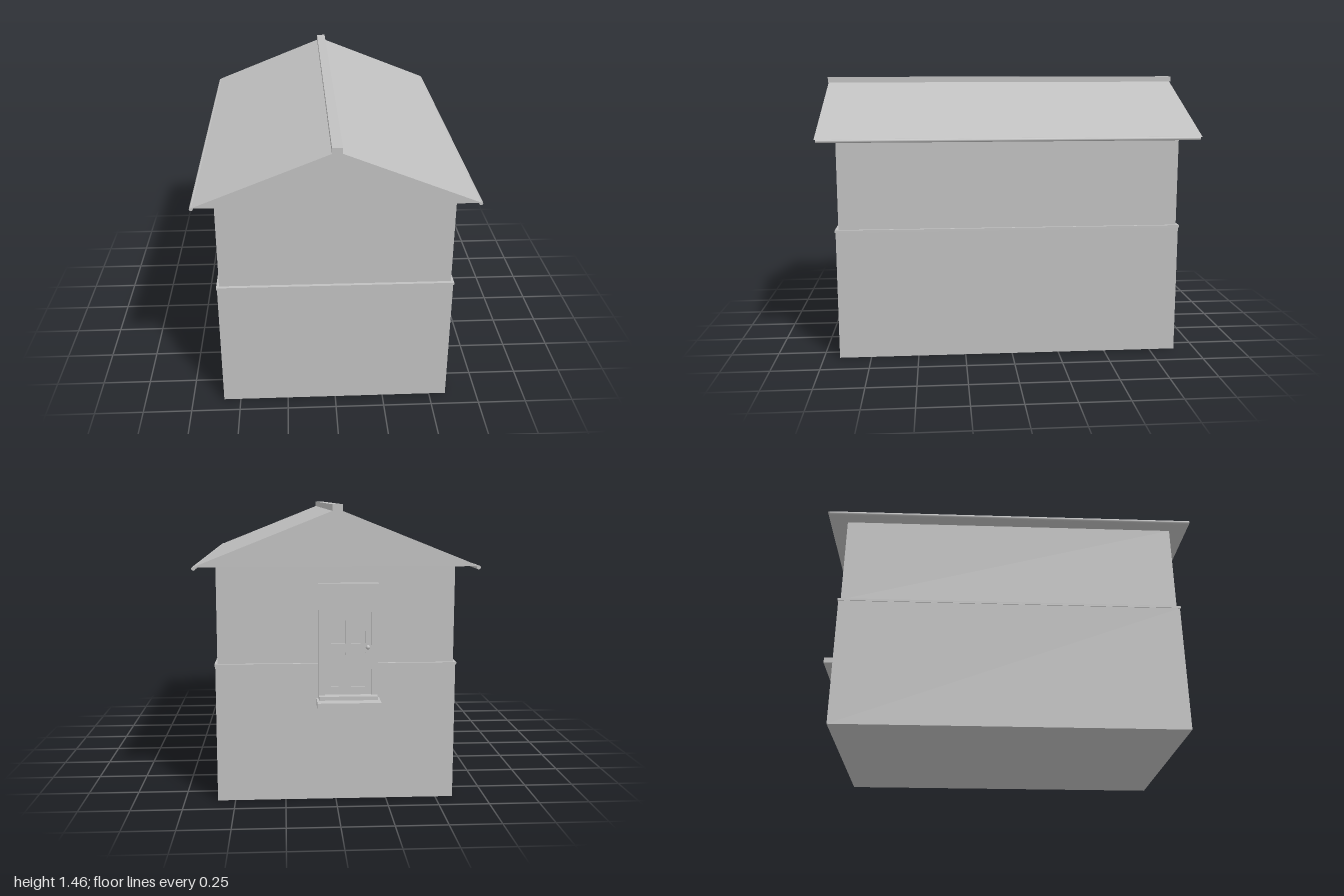
import * as THREE from 'three';

export function createModel() {
  const house = new THREE.Group();
  house.name = 'house';
  const grey = new THREE.MeshStandardMaterial({ color: 0xc0c0c0 });
  grey.name = 'plain grey';

  const add = (name, geometry, parent = house) => {
    const mesh = new THREE.Mesh(geometry, grey);
    mesh.name = name;
    parent.add(mesh);
    return mesh;
  };
  // Box given by its limits on each axis
  const box = (name, [x0, x1], [y0, y1], [z0, z1], parent) => {
    const mesh = add(name, new THREE.BoxGeometry(x1 - x0, y1 - y0, z1 - z0), parent);
    mesh.position.set((x0 + x1) / 2, (y0 + y1) / 2, (z0 + z1) / 2);
    return mesh;
  };

  // Walls: wider lower storey, moulding, narrower upper storey
  box('lowerWalls', [-0.587, 0.587], [0, 0.678], [-0.886, 0.916]);
  box('wallMoulding', [-0.591, 0.591], [0.678, 0.69], [-0.89, 0.92]);
  box('upperWalls', [-0.577, 0.577], [0.69, 1.17], [-0.876, 0.902]);

  // Solid gable roof
  const gable = new THREE.Shape();
  gable.moveTo(-0.675, 1.168);
  gable.lineTo(0.675, 1.168);
  gable.lineTo(0, 1.437);
  gable.closePath();
  const roof = add('roof', new THREE.ExtrudeGeometry(gable, { depth: 1.967, bevelEnabled: false }));
  roof.position.z = -0.971;
  box('roofRidge', [-0.025, 0.025], [1.428, 1.458], [-0.977, 1]);

  // Gutters under both eaves
  for (const side of [-1, 1]) {
    const geometry = new THREE.CylinderGeometry(0.0095, 0.0095, 1.947, 12).rotateX(Math.PI / 2);
    const gutter = add('gutter', geometry);
    gutter.position.set(side * 0.673, 1.161, 0.0135);
  }

  // Back door: casing with a recessed panelled leaf
  const door = new THREE.Group();
  door.name = 'backDoor';
  house.add(door);
  const left = 0.088, right = -0.203, casing = 0.032;
  const inL = left - casing, inR = right + casing;
  const casingZ = [-0.911, -0.87];
  box('casingSide', [inL, left], [0.515, 1.083], casingZ, door);
  box('casingSide', [right, inR], [0.515, 1.083], casingZ, door);
  box('casingTop', [inR, inL], [1.051, 1.083], casingZ, door);
  box('doorPanels', [inR, inL], [0.535, 1.051], [-0.89, -0.87], door);

  // Raised stiles and rails around four panels
  const middle = (inL + inR) / 2, stileZ = [-0.898, -0.885];
  const stiles = [[inL - 0.03, inL], [middle - 0.014, middle + 0.014], [inR, inR + 0.03]];
  stiles.forEach((x) => box('doorStile', x, [0.535, 1.051], stileZ, door));
  for (const y of [[0.535, 0.575], [0.745, 0.79], [1.016, 1.051]]) {
    box('doorRail', [inR + 0.03, middle - 0.014], y, stileZ, door);
    box('doorRail', [middle + 0.014, inL - 0.03], y, stileZ, door);
  }
  const knob = add('doorKnob', new THREE.SphereGeometry(0.011, 16, 10), door);
  knob.position.set(-0.153, 0.772, -0.907);

  // Threshold and step
  box('threshold', [-0.2, 0.085], [0.515, 0.536], [-0.943, -0.88], door);
  box('doorStep', [-0.212, 0.096], [0.486, 0.517], [-1, -0.88], door);

  return house;
}
